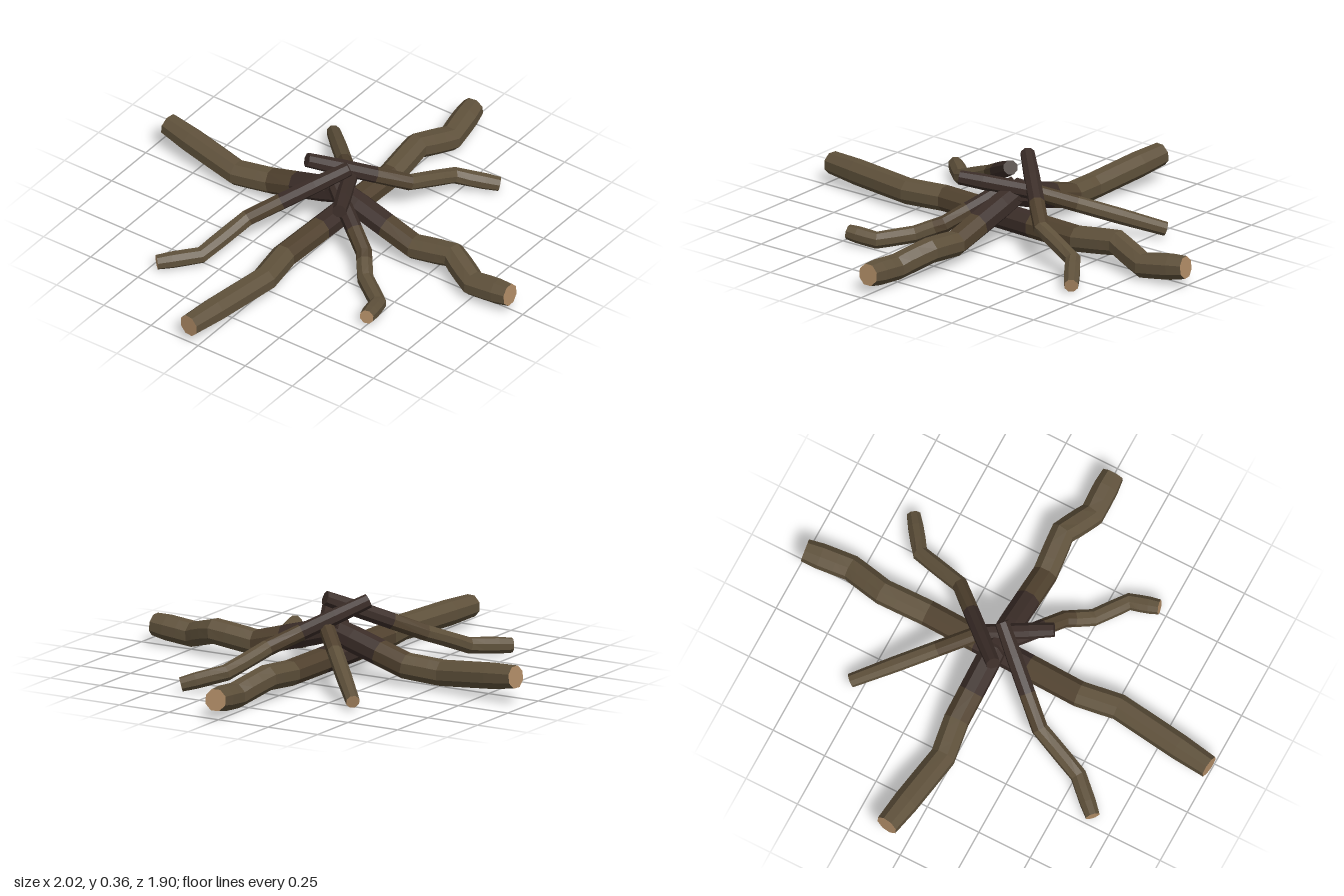
import * as THREE from 'three';

const SIDES = 8;
const PIECES = 3;
const COLORS = { bark: 0x5f513b, smokedBark: 0x51422f, charredBark: 0x3b2d28, cutWood: 0xb08c66 };
const vec = (x, y, z) => new THREE.Vector3(x, y, z);

// Cut every straight stretch into short pieces, so the charring can follow the distance to the fire
function subdivide(bends) {
  const path = [bends[0]];
  for (let i = 1; i < bends.length; i++) {
    for (let k = 1; k <= PIECES; k++) path.push(bends[i - 1].clone().lerp(bends[i], k / PIECES));
  }
  return path;
}

// Ring of points square to the path at point i
function ringAt(path, i, radius) {
  const before = path[Math.max(i - 1, 0)];
  const after = path[Math.min(i + 1, path.length - 1)];
  const into = path[i].clone().sub(before).normalize();
  const out = after.clone().sub(path[i]).normalize();
  const along = into.add(out).normalize();
  const side = vec(0, 1, 0).cross(along).normalize();
  const up = along.clone().cross(side);
  return Array.from({ length: SIDES }, (_, j) => {
    const a = ((j + 0.5) / SIDES) * Math.PI * 2;
    return path[i].clone().addScaledVector(side, Math.cos(a) * radius).addScaledVector(up, Math.sin(a) * radius);
  });
}

// Unshared corners give faceted normals
function meshFrom(name, points, material) {
  const geometry = new THREE.BufferGeometry().setFromPoints(points);
  geometry.computeVertexNormals();
  const mesh = new THREE.Mesh(geometry, material);
  mesh.name = name;
  return mesh;
}

function endCap(name, ring, material) {
  const points = [];
  for (let j = 1; j < SIDES - 1; j++) points.push(ring[0], ring[j], ring[j + 1]);
  return meshFrom(name, points, material);
}

// A log runs from its sawn outer end through its bends; it ends burnt in the fire or sawn beyond it
function buildLog(materials, name, radius, bends, sawnBothEnds = false) {
  const log = new THREE.Group();
  log.name = name;
  const path = subdivide(bends);
  const last = path.length - 1;
  const rings = path.map((_, i) => ringAt(path, i, i === 0 || i === last ? radius * 0.88 : radius));

  // Bark darkens towards the fire in the middle
  const bands = { bark: [], smokedBark: [], charredBark: [] };
  for (let i = 0; i < last; i++) {
    const middle = path[i].clone().lerp(path[i + 1], 0.5);
    const d = Math.hypot(middle.x, middle.z);
    const band = bands[d < 0.18 ? 'charredBark' : d < 0.33 ? 'smokedBark' : 'bark'];
    for (let j = 0; j < SIDES; j++) {
      const k = (j + 1) % SIDES;
      const [a, b, c, e] = [rings[i][j], rings[i][k], rings[i + 1][k], rings[i + 1][j]];
      band.push(a, b, c, a, c, e);
    }
  }
  for (const [band, points] of Object.entries(bands)) {
    if (points.length) log.add(meshFrom(band, points, materials[band]));
  }

  log.add(endCap('outerEnd', rings[0].slice().reverse(), materials.cutWood));
  log.add(endCap('innerEnd', rings[last], sawnBothEnds ? materials.cutWood : materials.charredBark));
  return log;
}

export function createModel() {
  const materials = {};
  for (const [name, color] of Object.entries(COLORS)) {
    materials[name] = new THREE.MeshStandardMaterial({ color });
    materials[name].name = name;
  }
  const model = new THREE.Group();
  model.name = 'campfireLogs';
  const add = (...log) => model.add(buildLog(materials, ...log));

  // Thick logs: one lies right across, two lean on it from front and back
  add('crossLog', 0.057, [
    vec(-1, 0.088, -0.05), vec(-0.53, 0.083, 0.013), vec(-0.35, 0.085, -0.015), vec(0.4, 0.08, 0.01),
    vec(0.61, 0.106, -0.003), vec(0.79, 0.06, 0.045), vec(1, 0.088, 0.015),
  ], true);
  add('frontLog', 0.057, [
    vec(-0.01, 0.088, 0.94), vec(-0.012, 0.068, 0.745), vec(0.052, 0.115, 0.595), vec(0.036, 0.087, 0.4),
    vec(0.048, 0.215, -0.05),
  ]);
  add('backLog', 0.058, [
    vec(0.095, 0.122, -0.945), vec(0.036, 0.075, -0.54), vec(0.06, 0.09, -0.37), vec(0.05, 0.21, 0.03),
  ]);

  // Thin branches leaning together on top
  add('frontLeftBranch', 0.036, [
    vec(0.67, 0.037, 0.392), vec(0.555, 0.085, 0.235), vec(0.325, 0.155, 0.165), vec(0, 0.335, -0.145),
  ]);
  add('backLeftBranch', 0.035, [
    vec(0.555, 0.04, -0.405), vec(0.13, 0.23, -0.01), vec(-0.15, 0.27, 0.135),
  ]);
  add('backRightBranch', 0.037, [
    vec(-0.655, 0.04, -0.468), vec(-0.515, 0.052, -0.335), vec(-0.285, 0.148, -0.255), vec(0.055, 0.335, 0.04),
  ]);
  add('frontRightBranch', 0.037, [
    vec(-0.465, 0.055, 0.508), vec(-0.335, 0.037, 0.475), vec(-0.235, 0.048, 0.335), vec(-0.135, 0.095, 0.255),
    vec(0.03, 0.24, -0.02),
  ]);
  return model;
}
